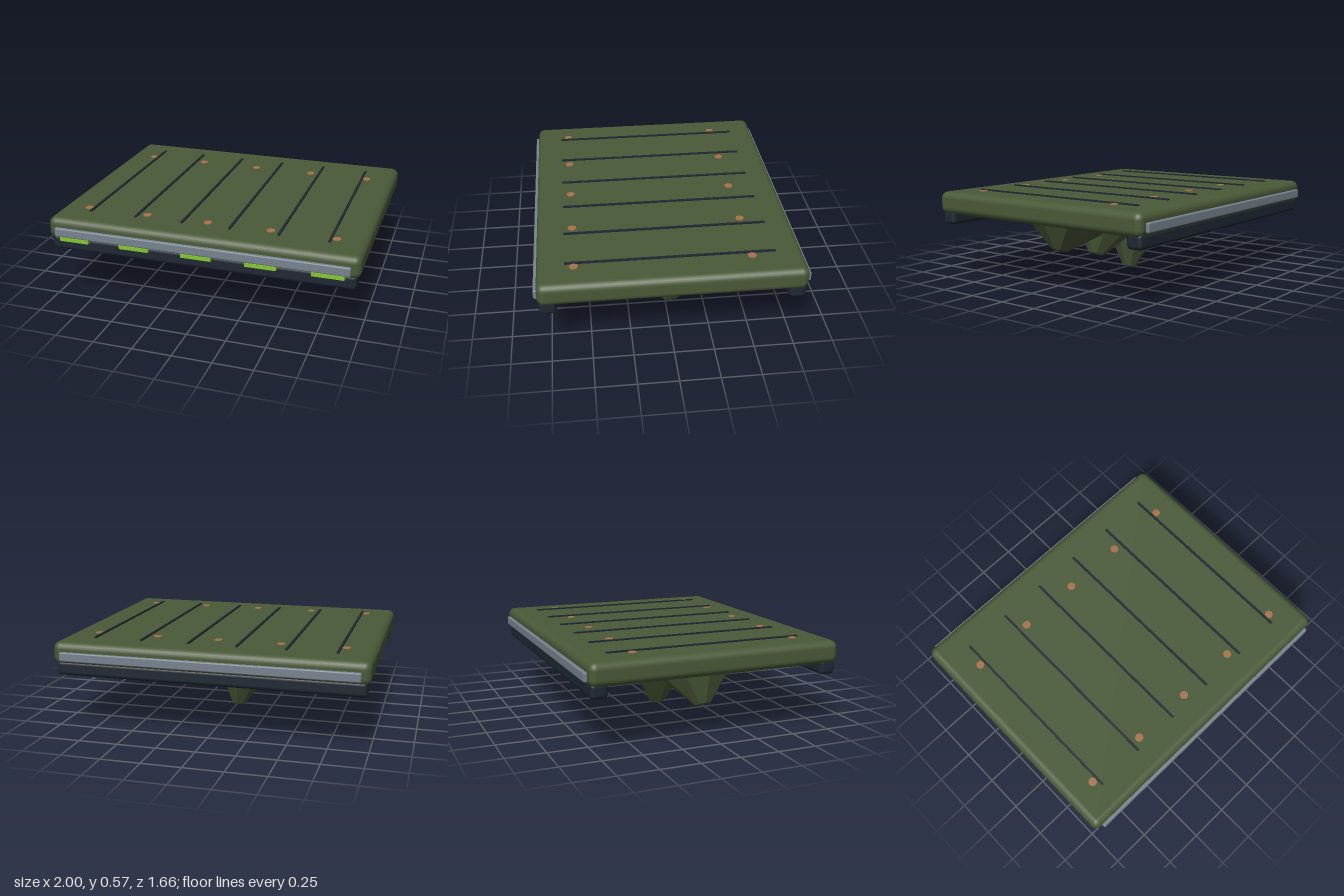
import * as THREE from 'three';
import { RoundedBoxGeometry } from 'three/addons/geometries/RoundedBoxGeometry.js';

const material = (name, color) => {
  const m = new THREE.MeshStandardMaterial({ color });
  m.name = name;
  return m;
};

export function createModel() {
  const group = new THREE.Group();
  const olive = material('olive', 0x4a5a38);
  const rockOlive = material('rock olive', 0x4a5a38);
  rockOlive.flatShading = true;
  const navy = material('dark navy', 0x1f2833);
  const steel = material('steel grey', 0x78838f);
  const lime = material('lime', 0x84c734);
  const copper = material('copper', 0xa6734a);

  const add = (name, geometry, mat, x, y, z) => {
    const mesh = new THREE.Mesh(geometry, mat);
    mesh.name = name;
    mesh.position.set(x, y, z);
    group.add(mesh);
    return mesh;
  };

  // Main deck
  add('deck', new RoundedBoxGeometry(2, 0.145, 1.62, 3, 0.045), olive, 0, 0.4925, 0);

  // Front and back: lower rail and grey edge trim
  for (const side of [1, -1]) {
    add('rail', new RoundedBoxGeometry(1.96, 0.095, 0.105, 3, 0.025), navy, 0, 0.3975, side * 0.748);
    add('edgeTrim', new RoundedBoxGeometry(1.89, 0.058, 0.04, 2, 0.008), steel, 0, 0.477, side * 0.81);
  }

  // Long seams across the deck
  for (let i = 0; i < 6; i++) {
    add('seam', new THREE.BoxGeometry(0.015, 0.02, 1.28), navy, -0.78 + i * 0.312, 0.564, 0);
  }

  // Bolts on the deck, lights under the front trim
  for (let i = -2; i <= 2; i++) {
    const x = i * 0.407;
    for (const z of [-0.49, 0.585]) {
      add('bolt', new THREE.CylinderGeometry(0.028, 0.028, 0.02, 8), copper, x, 0.56, z);
    }
    add('frontLight', new THREE.BoxGeometry(0.195, 0.024, 0.03), lime, x, 0.433, 0.81);
  }

  // Hanging rocks: tip x, tip y, tilt in radians
  const rocks = [
    [-0.745, 0.178, -0.46],
    [-0.375, 0.202, -0.26],
    [-0.002, 0.008, 0.15],
    [0.375, 0.145, 0.42],
    [0.74, 0.225, 0.36],
  ];
  for (const [x, y, tilt] of rocks) {
    const length = (0.375 - y) / Math.cos(tilt);
    const profile = [[0, 0], [0.05, 0], [0.245, length], [0.245, length + 0.05], [0, length + 0.05]]
      .map(([r, h]) => new THREE.Vector2(r, h));
    const rock = add('hangingRock', new THREE.LatheGeometry(profile, 8), rockOlive, x, y, 0);
    rock.rotation.z = tilt;
  }
  return group;
}
